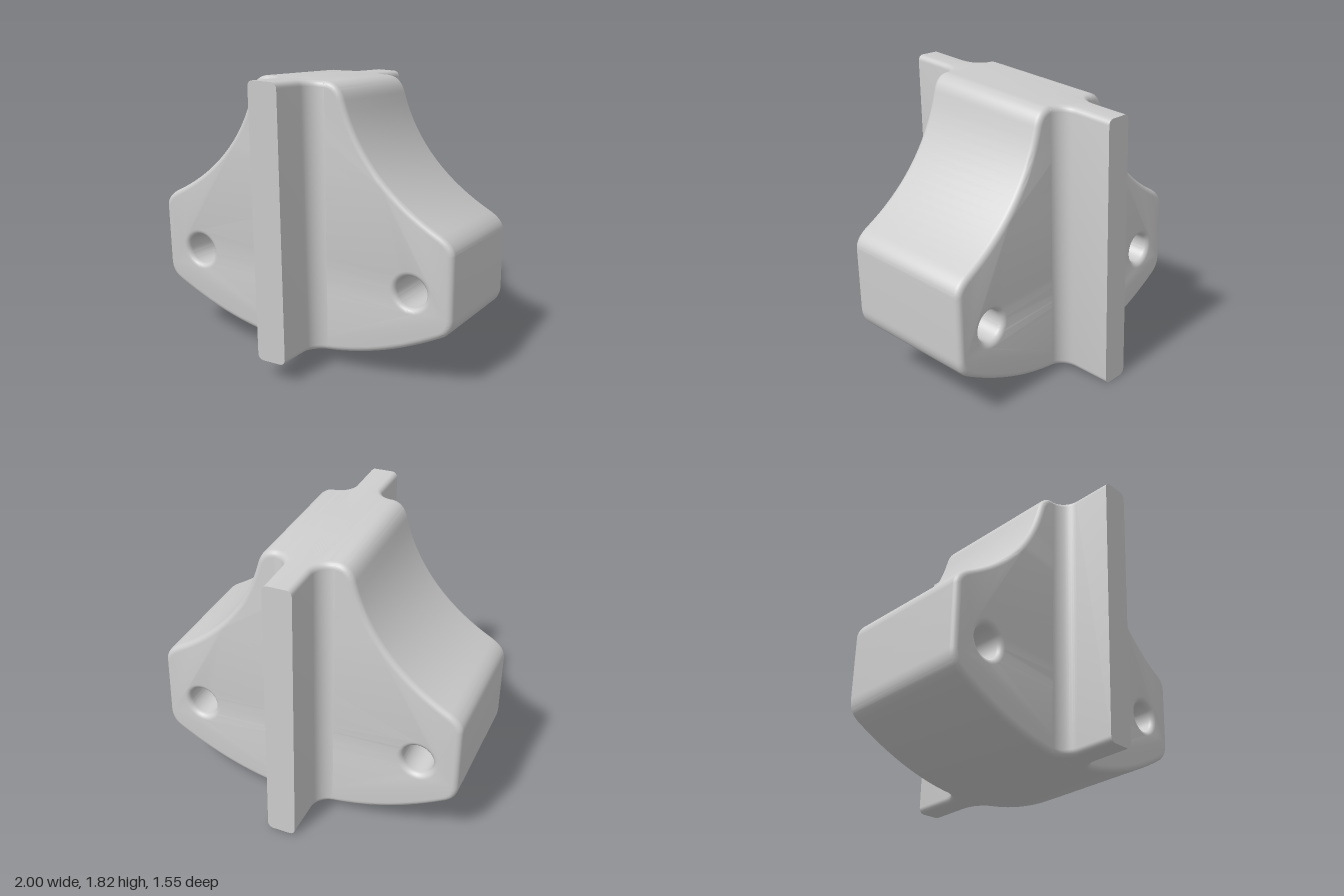
import * as THREE from 'three';
import { toCreasedNormals } from 'three/addons/utils/BufferGeometryUtils.js';

const BOTTOM = 0.067, TOP = 1.742;      // heights at mid depth
const BODY_DEPTH = 0.42, RIB_DEPTH = 0.755; // half depths
const BEVEL = 0.035;

// Bevelled extrusion whose finished size equals the drawn outline
function extrude(shape, length) {
  const g = new THREE.ExtrudeGeometry(shape, {
    depth: length - 2 * BEVEL, bevelEnabled: true, bevelSize: BEVEL,
    bevelThickness: BEVEL, bevelOffset: -BEVEL, bevelSegments: 5, curveSegments: 32,
  });
  return g.translate(0, 0, BEVEL - length / 2);
}

// Slight overall lean and taper, then smooth normals with sharp creases
function finish(g, name) {
  const p = g.attributes.position;
  for (let i = 0; i < p.count; i++) {
    const x = p.getX(i), y = p.getY(i), z = p.getZ(i);
    p.setXYZ(i, x * (0.9975 + 0.006 * z), y + z * (0.083 + 0.0115 * y), z + 0.025 * (y - 0.9));
  }
  const mesh = new THREE.Mesh(toCreasedNormals(g, 0.6),
    new THREE.MeshStandardMaterial({ color: 0xcccccc }));
  mesh.name = name;
  return mesh;
}

// Bell-shaped body with a bowed base, hollow flanks and two through holes
function makeBody() {
  const half = new THREE.Path();
  half.moveTo(0, BOTTOM);
  half.quadraticCurveTo(0.465, BOTTOM, 0.93, 0.326);
  half.quadraticCurveTo(1, 0.365, 1, 0.45);
  half.lineTo(1, 0.83);
  half.quadraticCurveTo(1, 0.896, 0.91, 0.945);
  half.bezierCurveTo(0.63, 1.09, 0.4, 1.32, 0.31, 1.64);
  half.quadraticCurveTo(0.28, TOP, 0.19, TOP);
  const right = half.getPoints(16);
  const left = right.slice(1).reverse().map((p) => new THREE.Vector2(-p.x, p.y));
  const shape = new THREE.Shape([...right, ...left]);
  for (const s of [-1, 1]) {
    shape.holes.push(new THREE.Path().absarc(s * 0.74, 0.572, 0.097, 0, Math.PI * 2, true));
  }
  return finish(extrude(shape, 2 * BODY_DEPTH), 'body');
}

// Upright rib through the middle, blended into the body by vertical fillets
function makeRib() {
  const w = 0.093, r = 0.1, end = RIB_DEPTH + 0.08;
  const quarter = [new THREE.Vector2(w, end)];
  for (let i = 0; i <= 10; i++) {
    const a = (i / 10) * Math.PI / 2;
    quarter.push(new THREE.Vector2(w + r - r * Math.cos(a), BODY_DEPTH + r - r * Math.sin(a)));
  }
  const flip = (pts, sx, sy) => pts.map((p) => new THREE.Vector2(p.x * sx, p.y * sy));
  const shape = new THREE.Shape([
    ...quarter, ...flip(quarter, 1, -1).reverse(),
    ...flip(quarter, -1, -1), ...flip(quarter, -1, 1).reverse(),
  ]);
  const g = extrude(shape, TOP - BOTTOM);
  g.rotateX(-Math.PI / 2).translate(0, (TOP + BOTTOM) / 2, 0);
  // Square off both ends and let the underside follow the bowed base
  const p = g.attributes.position;
  for (let i = 0; i < p.count; i++) {
    p.setZ(i, THREE.MathUtils.clamp(p.getZ(i), -RIB_DEPTH, RIB_DEPTH));
    if (p.getY(i) < 0.5) p.setY(i, p.getY(i) + 0.3 * p.getX(i) ** 2);
  }
  return finish(g, 'centreRib');
}

export function createModel() {
  const model = new THREE.Group();
  model.name = 'ribbedBlock';
  model.add(makeBody(), makeRib());
  return model;
}
